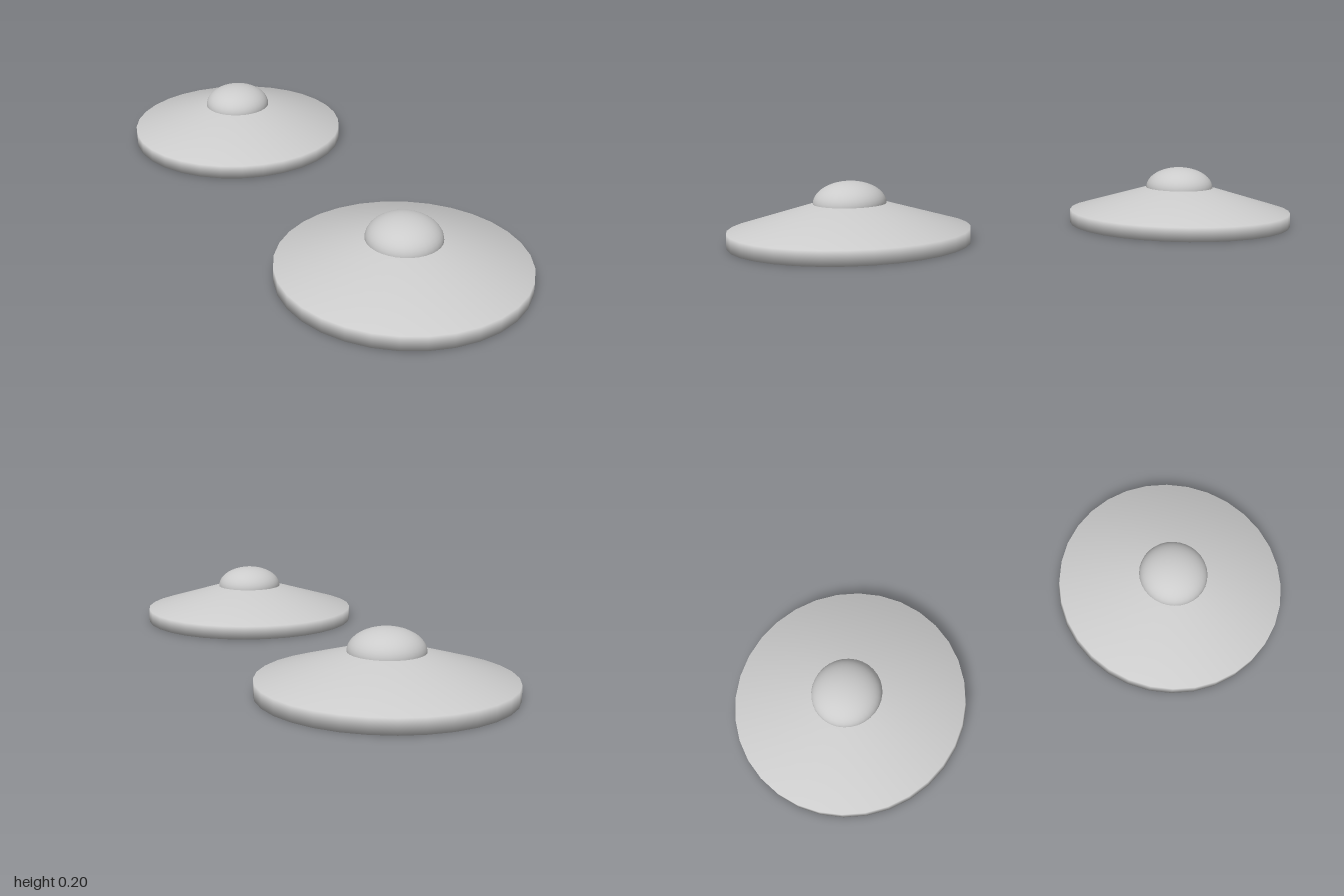
import * as THREE from 'three';

const material = new THREE.MeshStandardMaterial({ color: 0xcccccc });

// One saucer: a low cone with an upright rim and a flattened dome on top
function createSaucer() {
  const saucer = new THREE.Group();

  // closed body, smooth over the rim
  const profile = [[0, 0], [0.397, 0], [0.397, 0.048], [0.12, 0.131], [0, 0.131]]
    .map(([r, y]) => new THREE.Vector2(r, y));
  const body = new THREE.Mesh(new THREE.LatheGeometry(profile, 32), material);
  body.name = 'body';

  // half-ellipsoid dome
  const domeGeometry = new THREE.SphereGeometry(0.12, 32, 12, 0, Math.PI * 2, 0, Math.PI / 2);
  domeGeometry.scale(1, 0.073 / 0.12, 1);
  const dome = new THREE.Mesh(domeGeometry, material);
  dome.name = 'dome';
  dome.position.y = 0.131;

  saucer.add(body, dome);
  return saucer;
}

export function createModel() {
  const model = new THREE.Group();
  model.name = 'saucerPair';

  // matching front and back saucers
  for (const [name, z] of [['frontSaucer', 0.603], ['backSaucer', -0.603]]) {
    const saucer = createSaucer();
    saucer.name = name;
    saucer.position.z = z;
    model.add(saucer);
  }
  return model;
}
